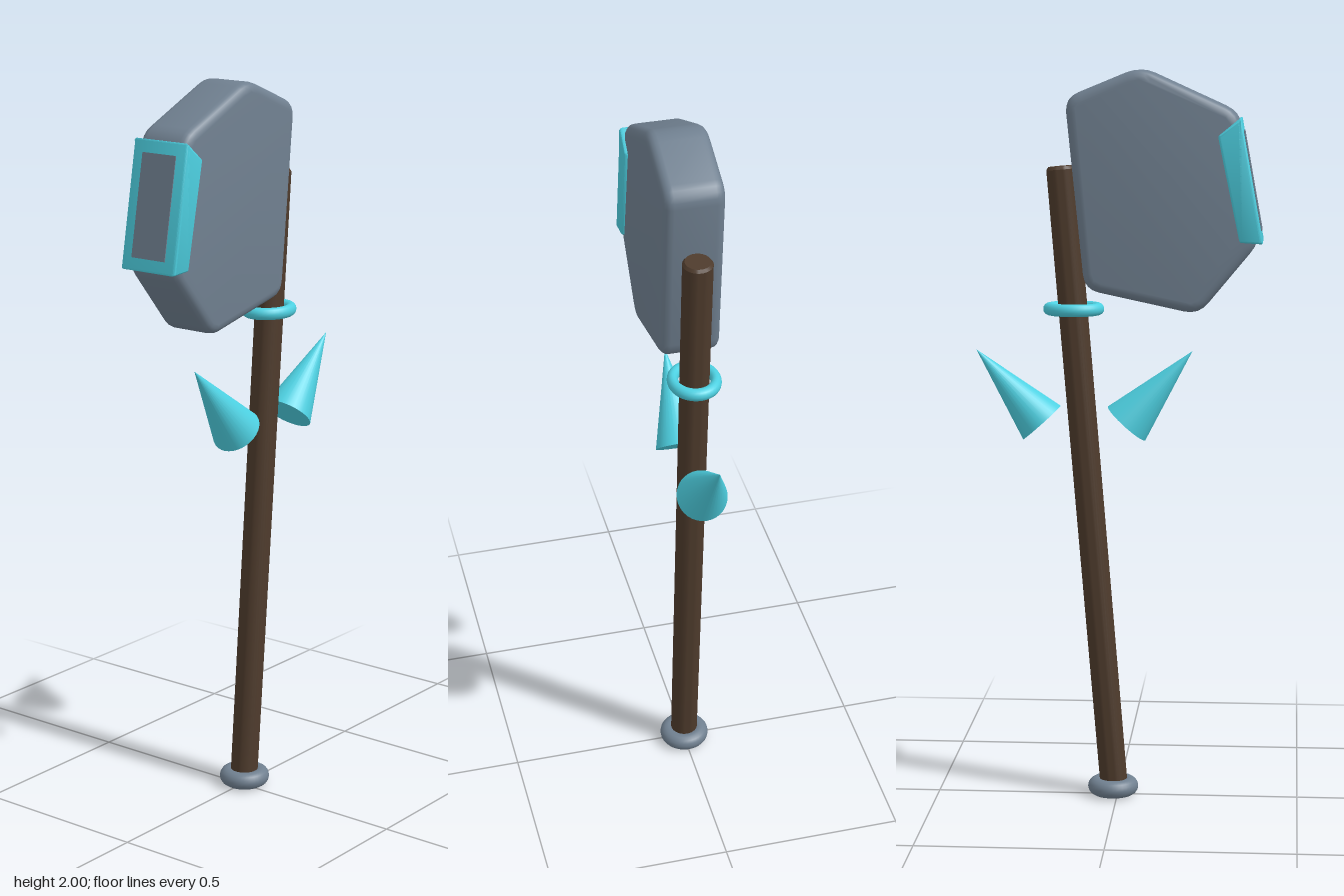
import * as THREE from 'three';
import { toCreasedNormals } from 'three/addons/utils/BufferGeometryUtils.js';

const stone = new THREE.MeshStandardMaterial({ color: 0x708090 });
const wood = new THREE.MeshStandardMaterial({ color: 0x4e3b2c });
const crystal = new THREE.MeshStandardMaterial({ color: 0x4dd0e1 });

function add(group, name, geometry, material, x = 0, y = 0, z = 0) {
  const mesh = new THREE.Mesh(geometry, material);
  mesh.name = name;
  mesh.position.set(x, y, z);
  group.add(mesh);
  return mesh;
}

// Polygon with each corner softened by a short curve
function roundedPolygon(points, radius) {
  const pts = points.map(([x, y]) => new THREE.Vector2(x, y));
  const shape = new THREE.Shape();
  pts.forEach((p, i) => {
    const prev = pts[(i + pts.length - 1) % pts.length];
    const next = pts[(i + 1) % pts.length];
    const a = prev.clone().sub(p).setLength(radius).add(p);
    const b = next.clone().sub(p).setLength(radius).add(p);
    if (i === 0) shape.moveTo(a.x, a.y);
    else shape.lineTo(a.x, a.y);
    shape.quadraticCurveTo(p.x, p.y, b.x, b.y);
  });
  shape.closePath();
  return shape;
}

// Slab centred on z = 0 with rounded rims that stay inside the outline
function slab(points, halfDepth, bevel, radius) {
  const geometry = new THREE.ExtrudeGeometry(roundedPolygon(points, radius), {
    depth: 2 * (halfDepth - bevel),
    bevelThickness: bevel,
    bevelSize: bevel,
    bevelOffset: -bevel,
    bevelSegments: 4,
    curveSegments: 4,
  });
  geometry.translate(0, 0, bevel - halfDepth);
  return toCreasedNormals(geometry, 0.6);
}

// Aims a y-axis mesh from one point to another
function aim(mesh, from, to) {
  mesh.position.copy(from).lerp(to, 0.5);
  mesh.quaternion.setFromUnitVectors(new THREE.Vector3(0, 1, 0), to.clone().sub(from).normalize());
}

export function createModel() {
  const model = new THREE.Group();
  model.name = 'warHammer';

  // Leaning shaft with a slightly chamfered top
  const foot = new THREE.Vector3(0.01, 0.03, 0);
  const top = new THREE.Vector3(0.153, 1.745, 0);
  const half = foot.distanceTo(top) / 2;
  const profile = [[0, -half], [0.038, -half], [0.04, half - 0.008], [0.034, half], [0, half]]
    .map(([r, y]) => new THREE.Vector2(r, y));
  const shaft = add(model, 'shaft', toCreasedNormals(new THREE.LatheGeometry(profile, 32), 0.6), wood);
  aim(shaft, foot, top);

  // Rings lying flat around the shaft
  const pommel = new THREE.TorusGeometry(0.046, 0.024, 16, 40).rotateX(Math.PI / 2);
  add(model, 'pommelRing', pommel, stone, 0.012, 0.025);
  const collar = new THREE.TorusGeometry(0.066, 0.017, 16, 40).rotateX(Math.PI / 2).scale(1, 1, 0.86);
  add(model, 'collarRing', collar, crystal, 0.119, 1.36);

  // Six-sided stone head
  const outline = [
    [-0.063, 2.01], [-0.327, 1.89], [-0.386, 1.55],
    [-0.222, 1.352], [0.085, 1.418], [0.137, 1.928],
  ];
  add(model, 'head', slab(outline, 0.08, 0.025, 0.04), stone);

  // Crystal striking plate with its stone inlay
  const plate = [[-0.333, 1.878], [-0.394, 1.543], [-0.331, 1.547], [-0.272, 1.828]];
  add(model, 'strikingPlate', slab(plate, 0.089, 0.008, 0.006), crystal);
  const inlay = add(model, 'strikingInlay', new THREE.BoxGeometry(0.012, 0.27, 0.11), stone, -0.36, 1.709);
  inlay.rotation.z = -0.181;

  // Mirrored pair of crystal spikes
  for (const side of [1, -1]) {
    const base = new THREE.Vector3(0.091 + side * 0.116, 1.047, 0);
    const tip = new THREE.Vector3(0.091 + side * 0.295, 1.247, 0);
    const cone = new THREE.ConeGeometry(0.069, base.distanceTo(tip), 32);
    const spike = add(model, side > 0 ? 'leftSpike' : 'rightSpike', cone, crystal);
    aim(spike, base, tip);
  }

  return model;
}
